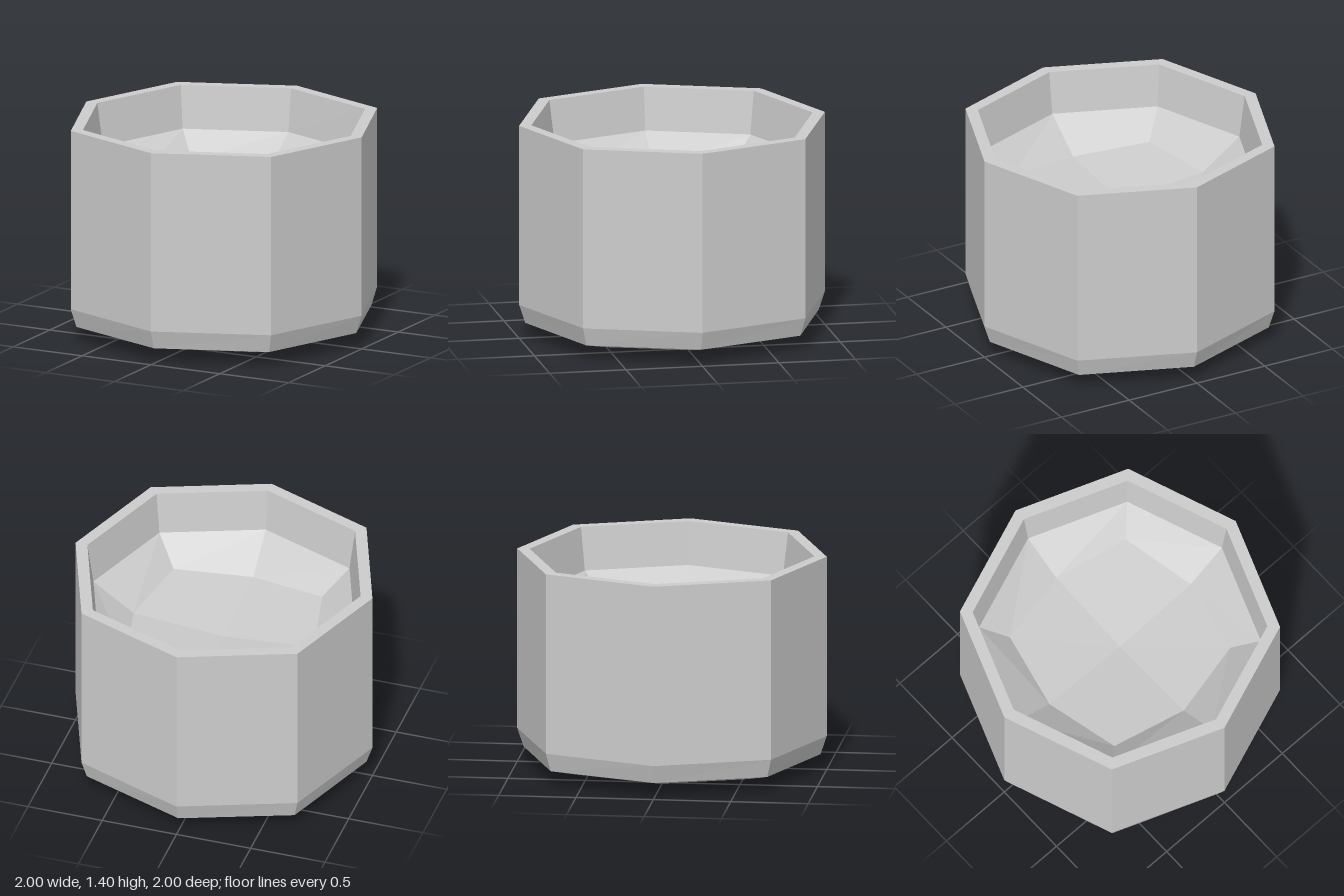
import * as THREE from 'three';

// Eight corners per ring: a = reach along the axes at height ya,
// d = x and z of the diagonal corners at height yd
function ring([a, ya, d, yd = ya]) {
  const points = [];
  for (let i = 0; i < 8; i++) {
    const t = (i * Math.PI) / 4;
    const diagonal = i % 2 === 1;
    const r = diagonal ? d * Math.SQRT2 : a;
    points.push(new THREE.Vector3(Math.sin(t) * r, diagonal ? yd : ya, Math.cos(t) * r));
  }
  return points;
}

// Faceted skin through a list of rings; a ring of zero size closes it
function skin(name, sections, material) {
  const positions = [];
  const rings = sections.map(ring);
  for (let k = 0; k < rings.length - 1; k++) {
    for (let i = 0; i < 8; i++) {
      const j = (i + 1) % 8;
      const [A, B, C, D] = [rings[k][i], rings[k][j], rings[k + 1][j], rings[k + 1][i]];
      if (sections[k][0] > 0) positions.push(...A, ...B, ...C);
      if (sections[k + 1][0] > 0) positions.push(...A, ...C, ...D);
    }
  }
  const geometry = new THREE.BufferGeometry();
  geometry.setAttribute('position', new THREE.Float32BufferAttribute(positions, 3));
  geometry.computeVertexNormals();
  const mesh = new THREE.Mesh(geometry, material);
  mesh.name = name;
  return mesh;
}

export function createModel() {
  const grey = new THREE.MeshStandardMaterial({ color: 0xcccccc });
  grey.name = 'plain grey';

  const base = [0.96, 0.1, 0.7];
  const rimOuter = [1, 1.4, 0.727];
  const rimInner = [0.92, 1.4, 0.669];
  const ledge = [0.88, 1.12, 0.64];

  const model = new THREE.Group();
  model.name = 'octagonalPot';
  model.add(
    // Shallow domed underside
    skin('underside', [[0, 0, 0], [0.67, 0.03, 0.55, 0.048], base], grey),
    // Chamfered foot and upright walls
    skin('outerWall', [base, [1, 0.22, 0.727], rimOuter], grey),
    skin('rim', [rimOuter, rimInner], grey),
    skin('innerWall', [rimInner, ledge], grey),
    // Shallow dish inside
    skin('bowlFloor', [ledge, [0.61, 0.93, 0.5, 0.96], [0, 0.88, 0]], grey),
  );
  return model;
}
